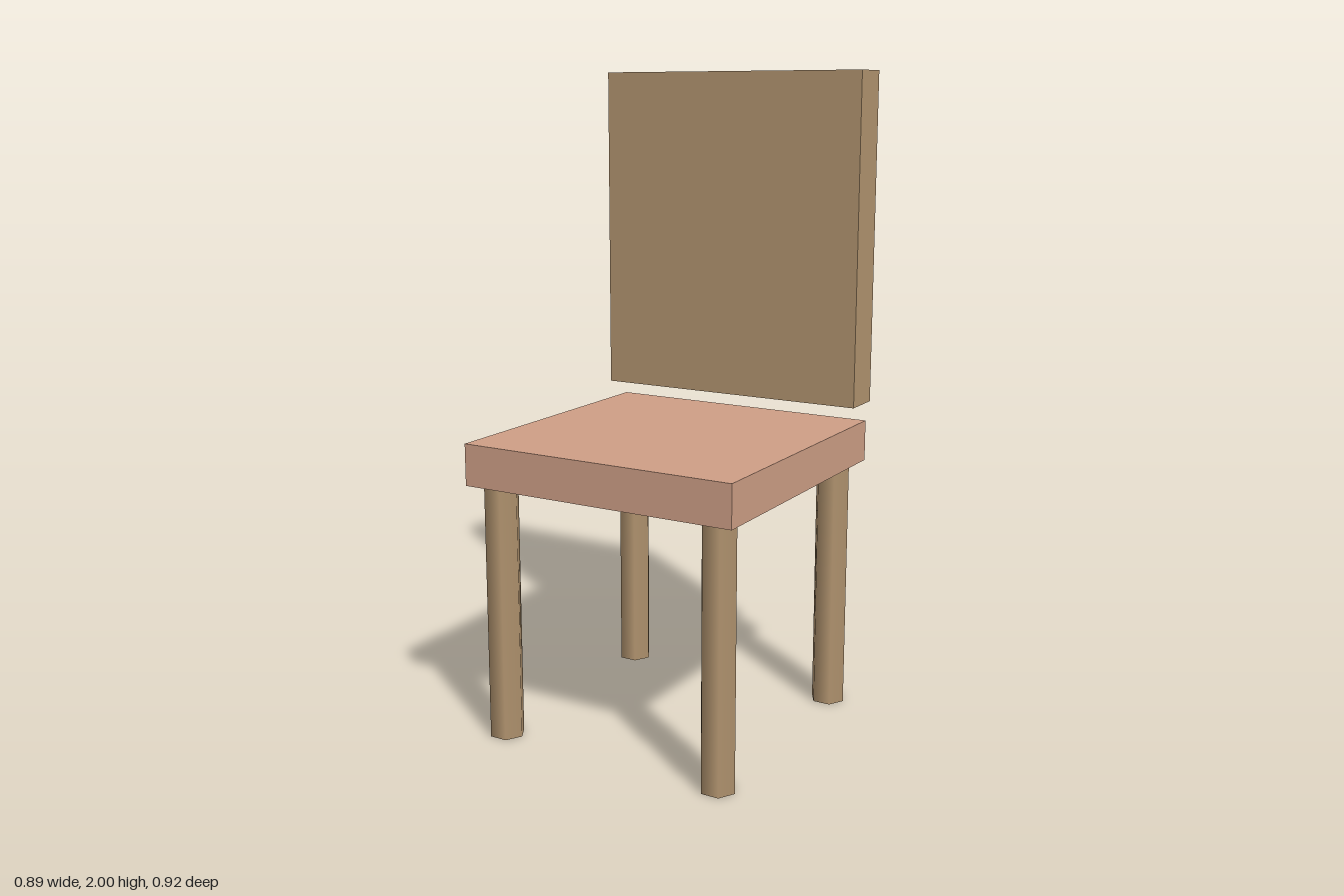
import * as THREE from 'three';

export function createModel() {
  const chair = new THREE.Group();
  chair.name = 'chair';

  const wood = new THREE.MeshStandardMaterial({ color: 0xb39570 });
  wood.name = 'tan wood';
  const cushion = new THREE.MeshStandardMaterial({ color: 0xd0a087 });
  cushion.name = 'dusty pink';

  const add = (name, geometry, material, x, y, z) => {
    const mesh = new THREE.Mesh(geometry, material);
    mesh.name = name;
    mesh.position.set(x, y, z);
    chair.add(mesh);
  };

  // Seat slab and the backrest floating just above it
  add('seat', new THREE.BoxGeometry(0.892, 0.128, 0.89), cushion, 0, 0.859, 0.015);
  add('backrest', new THREE.BoxGeometry(0.892, 1.02, 0.128), wood, 0, 1.49, -0.396);

  // Four six-sided legs with smooth sides, corners pointing along x
  const legHeight = 0.795;
  const leg = new THREE.CylinderGeometry(0.055, 0.055, legHeight, 6, 1, false, Math.PI / 6);
  for (const [side, x] of [['Left', 0.37], ['Right', -0.37]]) {
    add(`front${side}Leg`, leg, wood, x, legHeight / 2, 0.388);
    add(`back${side}Leg`, leg, wood, x, legHeight / 2, -0.356);
  }

  return chair;
}
